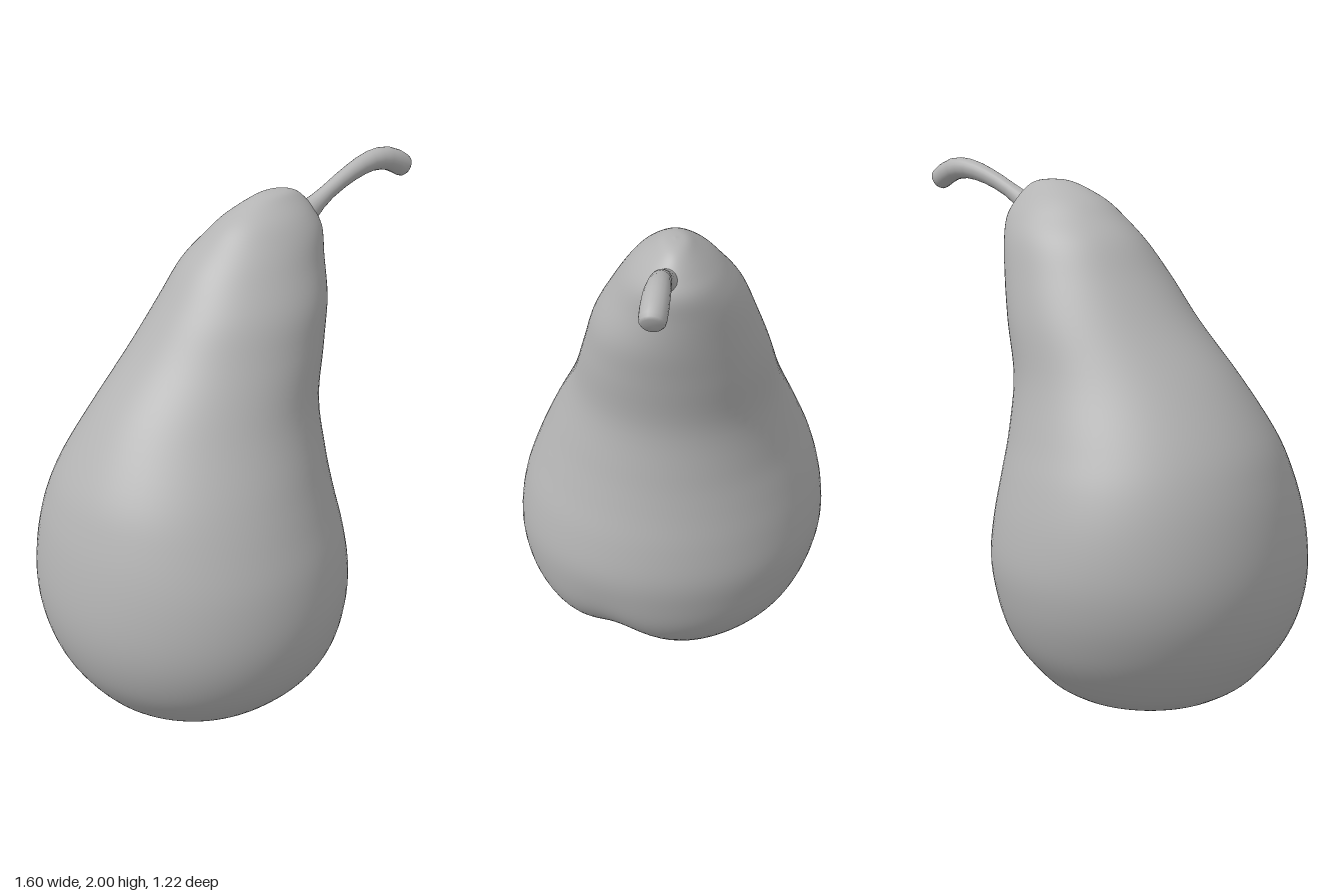
import * as THREE from 'three';

// Skin a grid of rings (rows x cols, each row closed) with smooth normals.
function loft(rows, cols, pointAt) {
  const pos = [], idx = [];
  for (let i = 0; i <= rows; i++)
    for (let j = 0; j < cols; j++) pos.push(...pointAt(i, (j / cols) * Math.PI * 2).toArray());
  for (let i = 0; i < rows; i++)
    for (let j = 0; j < cols; j++) {
      const k = (j + 1) % cols;
      const a = i * cols + j, b = a + cols, c = i * cols + k, d = c + cols;
      idx.push(a, b, c, c, b, d);
    }
  const g = new THREE.BufferGeometry();
  g.setAttribute('position', new THREE.Float32BufferAttribute(pos, 3));
  g.setIndex(idx);
  g.computeVertexNormals();
  return g;
}

// Leaning fruit body: cross-sections [y, xMin, xMax, zFront, zBack]
function bodyGeometry() {
  const sections = [
    [0.01, -0.19, -0.19, 0, 0], [0, -0.37, -0.06, 0.17, -0.18], [0.02, -0.48, 0.03, 0.25, -0.27],
    [0.05, -0.55, 0.1, 0.33, -0.34], [0.1, -0.62, 0.17, 0.41, -0.41], [0.2, -0.70, 0.26, 0.51, -0.495],
    [0.3, -0.755, 0.315, 0.57, -0.55], [0.42, -0.79, 0.345, 0.603, -0.59], [0.55, -0.80, 0.36, 0.607, -0.606],
    [0.7, -0.785, 0.345, 0.58, -0.59], [0.85, -0.75, 0.318, 0.525, -0.55], [1.0, -0.69, 0.297, 0.46, -0.49],
    [1.2, -0.56, 0.285, 0.37, -0.41], [1.4, -0.395, 0.32, 0.315, -0.355], [1.55, -0.285, 0.35, 0.275, -0.305],
    [1.68, -0.19, 0.366, 0.21, -0.255], [1.77, -0.1, 0.372, 0.16, -0.195], [1.83, -0.03, 0.345, 0.115, -0.145],
    [1.88, 0.06, 0.305, 0.06, -0.09], [1.905, 0.13, 0.26, 0.025, -0.055], [1.912, 0.2, 0.2, -0.015, -0.015],
  ];
  const spline = (f) => new THREE.CatmullRomCurve3(sections.map(f), false, 'catmullrom');
  const xs = spline((s) => new THREE.Vector3(s[0], s[1], s[2]));
  const zs = spline((s) => new THREE.Vector3(s[0], s[3], s[4]));
  const rows = 100, gx = 0.86, gz = 0.5;
  return loft(rows, 80, (i, t) => {
    const a = xs.getPoint(i / rows), b = zs.getPoint(i / rows);
    const c = Math.cos(t), s = Math.sin(t);
    let y = Math.max(a.x, 0);
    // The neck is fuller on its inner side
    const full = 1 + 0.1 * c * Math.exp(-(((y - 1.35) / 0.3) ** 2));
    let x = (a.y + a.z) / 2 + ((a.z - a.y) / 2) * c;
    let z = (b.y + b.z) / 2 + ((b.y - b.z) / 2) * s * full;
    // Hollow underneath, with a shallow groove running out of it
    const dx = x + 0.18, low = Math.max(0, 1 - y / 0.6);
    const along = dx * gx + z * gz, across = dx * gz - z * gx;
    const groove = THREE.MathUtils.smoothstep(along, 0, 0.3) * Math.exp(-((across / 0.13) ** 2)) * low * low;
    if (y < 0.3) y += 0.065 * Math.exp(-(dx * dx + z * z) / 0.0085);
    y += 0.045 * groove;
    x -= 0.06 * gx * groove;
    z -= 0.06 * gz * groove;
    return new THREE.Vector3(x, y, z);
  });
}

// Curved stalk, thin in the middle and thick at its cut end: [position along, radius]
function stemGeometry() {
  const path = new THREE.CatmullRomCurve3([
    [0.29, 1.795, 0.01], [0.345, 1.83, 0.015], [0.42, 1.877, 0.02], [0.52, 1.927, 0.025],
    [0.62, 1.958, 0.03], [0.70, 1.955, 0.038], [0.782, 1.914, 0.048],
  ].map((p) => new THREE.Vector3(...p)));
  const rings = [
    [0, 0.065], [0.07, 0.05], [0.14, 0.04], [0.22, 0.033], [0.32, 0.029], [0.42, 0.03], [0.5, 0.032],
    [0.58, 0.035], [0.66, 0.038], [0.74, 0.041], [0.82, 0.043], [0.9, 0.044], [0.96, 0.043],
    [0.985, 0.04], [1, 0.032], [1, 0],
  ];
  const up = new THREE.Vector3(0, 0, 1);
  return loft(rings.length - 1, 20, (i, t) => {
    const [u, r] = rings[i];
    const tangent = path.getTangent(u);
    const n = new THREE.Vector3().crossVectors(up, tangent).normalize();
    const b = new THREE.Vector3().crossVectors(tangent, n);
    return path.getPoint(u).addScaledVector(n, r * Math.cos(t)).addScaledVector(b, -r * Math.sin(t));
  });
}

export function createModel() {
  const skin = new THREE.MeshStandardMaterial({ color: 0xb4b4b4 });
  skin.name = 'plain grey';
  const model = new THREE.Group();
  model.name = 'pear';
  const add = (parent, name, geometry) => {
    const mesh = new THREE.Mesh(geometry, skin);
    mesh.name = name;
    parent.add(mesh);
    return mesh;
  };

  add(model, 'body', bodyGeometry());
  add(model, 'stem', stemGeometry());

  // Dried blossom end inside the hollow
  const calyx = new THREE.Group();
  calyx.name = 'calyx';
  calyx.position.set(-0.18, 0.068, 0.01);
  model.add(calyx);
  add(calyx, 'calyxRim', new THREE.TorusGeometry(0.024, 0.009, 8, 20)).rotation.x = Math.PI / 2;
  for (let i = 0; i < 5; i++) {
    const a = (i / 5) * Math.PI * 2;
    const sepal = add(calyx, 'sepal', new THREE.ConeGeometry(0.008, 0.025, 6));
    sepal.position.set(0.022 * Math.cos(a), -0.012, 0.022 * Math.sin(a));
    sepal.rotation.x = Math.PI;
  }
  return model;
}
